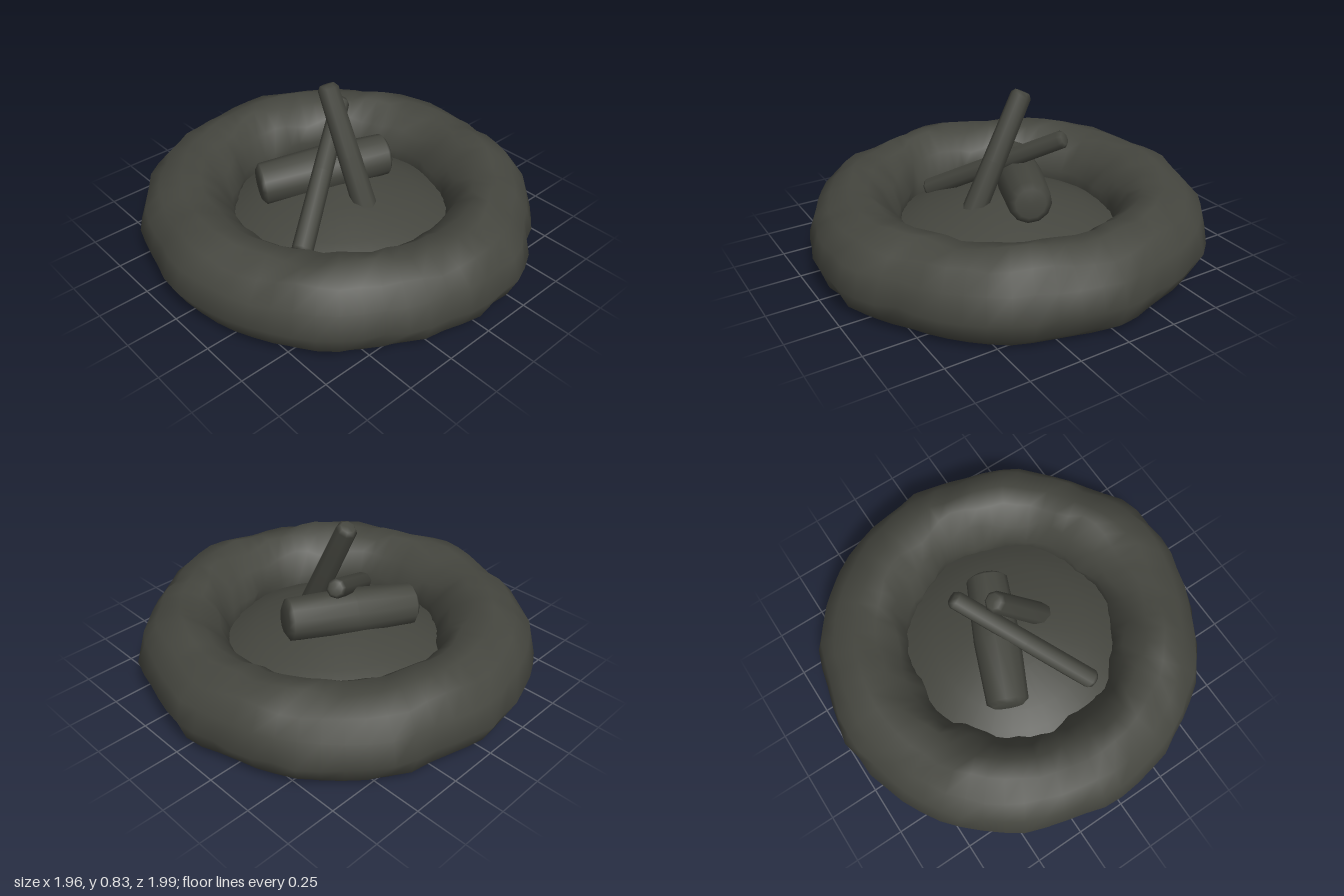
import * as THREE from 'three';

const SEG = 60;

// outer edge of the ring every 15 degrees, from +x towards +z
const OUTER = [0.985, 0.95, 0.98, 0.965, 0.955, 1.0, 0.99, 0.97, 0.955, 0.975, 0.97, 0.975,
  0.985, 0.965, 0.995, 1.0, 1.0, 0.99, 0.995, 0.98, 1.0, 0.995, 0.99, 0.965];

// ring cross-section as radius and height, from the outer foot over the top to the inner foot
const PROFILE = [[0.89, 0], [0.95, 0.055], [1.0, 0.16], [0.965, 0.27], [0.89, 0.35],
  [0.78, 0.395], [0.68, 0.385], [0.59, 0.31], [0.535, 0.21], [0.535, 0.1], [0.6, 0]];

function noise(i, j) {
  const s = Math.sin(i * 127.1 + j * 311.7) * 43758.5453;
  return (s - Math.floor(s)) * 2 - 1;
}

// point on the lumpy ring: i runs around, j along the cross-section
function ringPoint(i, j) {
  const k = i % SEG, a = (k / SEG) * Math.PI * 2;
  const t = (k / SEG) * OUTER.length, n = Math.floor(t);
  const edge = THREE.MathUtils.lerp(OUTER[n], OUTER[(n + 1) % OUTER.length], t - n);
  const [pr, py] = PROFILE[j];
  const w = (pr - 0.53) / 0.47;
  const lump = 0.012 * Math.sin(a * 7 + j) + 0.01 * Math.sin(a * 11 - j * 2);
  const foot = py === 0;
  let r = pr + (edge - 1) * w + (foot ? 0 : 0.008 * noise(k, j));
  if (w < 0.5) r += lump;
  const y = foot ? 0 : py + (py > 0.3 ? lump * 0.8 : 0) + 0.007 * noise(k + 40, j);
  return [r * Math.cos(a), y, r * Math.sin(a)];
}

// strip surface over a list of cross-section rows, with shared vertices for smooth normals
function ringSurface(rows) {
  const pos = [], index = [];
  for (let i = 0; i < SEG; i++) rows.forEach(j => pos.push(...ringPoint(i, j)));
  const m = rows.length;
  for (let i = 0; i < SEG; i++) {
    for (let j = 0; j < m - 1; j++) {
      const a = i * m + j, b = ((i + 1) % SEG) * m + j;
      index.push(a, a + 1, b, b, a + 1, b + 1);
    }
  }
  const g = new THREE.BufferGeometry();
  g.setAttribute('position', new THREE.Float32BufferAttribute(pos, 3));
  g.setIndex(index);
  g.computeVertexNormals();
  return g;
}

// log with bevelled ends between two points
function makeLog(name, from, to, r0, rMid, r1, sides, material) {
  const a = new THREE.Vector3(...from), b = new THREE.Vector3(...to);
  const L = a.distanceTo(b), bevel = 0.02;
  const pts = [[0, 0], [r0 * 0.75, 0], [r0, bevel], [rMid, L / 2], [r1, L - bevel], [r1 * 0.7, L], [0, L]];
  const g = new THREE.LatheGeometry(pts.map(p => new THREE.Vector2(p[0], p[1])), sides);
  const mesh = new THREE.Mesh(g, material);
  mesh.name = name;
  mesh.position.copy(a);
  mesh.quaternion.setFromUnitVectors(new THREE.Vector3(0, 1, 0), b.sub(a).normalize());
  return mesh;
}

export function createModel() {
  const group = new THREE.Group();
  group.name = 'firePit';
  const charcoal = new THREE.MeshStandardMaterial({ color: 0x45463f, side: THREE.DoubleSide });
  charcoal.name = 'charcoal';
  const add = (name, geometry) => {
    const mesh = new THREE.Mesh(geometry, charcoal);
    mesh.name = name;
    group.add(mesh);
  };

  // stone ring and its flat underside
  add('stoneRing', ringSurface(PROFILE.map((p, j) => j)));
  add('ringUnderside', ringSurface([PROFILE.length - 1, 0]));

  // low ash mound, open underneath
  const mound = [[0.6, 0.12], [0.5, 0.175], [0.4, 0.22], [0.2, 0.28], [0, 0.3]];
  add('ashMound', new THREE.LatheGeometry(mound.map(p => new THREE.Vector2(p[0], p[1])), 32));

  // logs
  group.add(
    makeLog('thickLog', [-0.325, 0.31, -0.235], [0.295, 0.365, 0.04], 0.105, 0.118, 0.105, 12, charcoal),
    makeLog('leaningLog', [-0.43, 0.2, 0.215], [0.2, 0.61, -0.21], 0.052, 0.05, 0.047, 8, charcoal),
    makeLog('uprightLog', [0.005, 0.16, 0.225], [0.005, 0.81, -0.095], 0.062, 0.057, 0.052, 8, charcoal),
  );
  return group;
}
